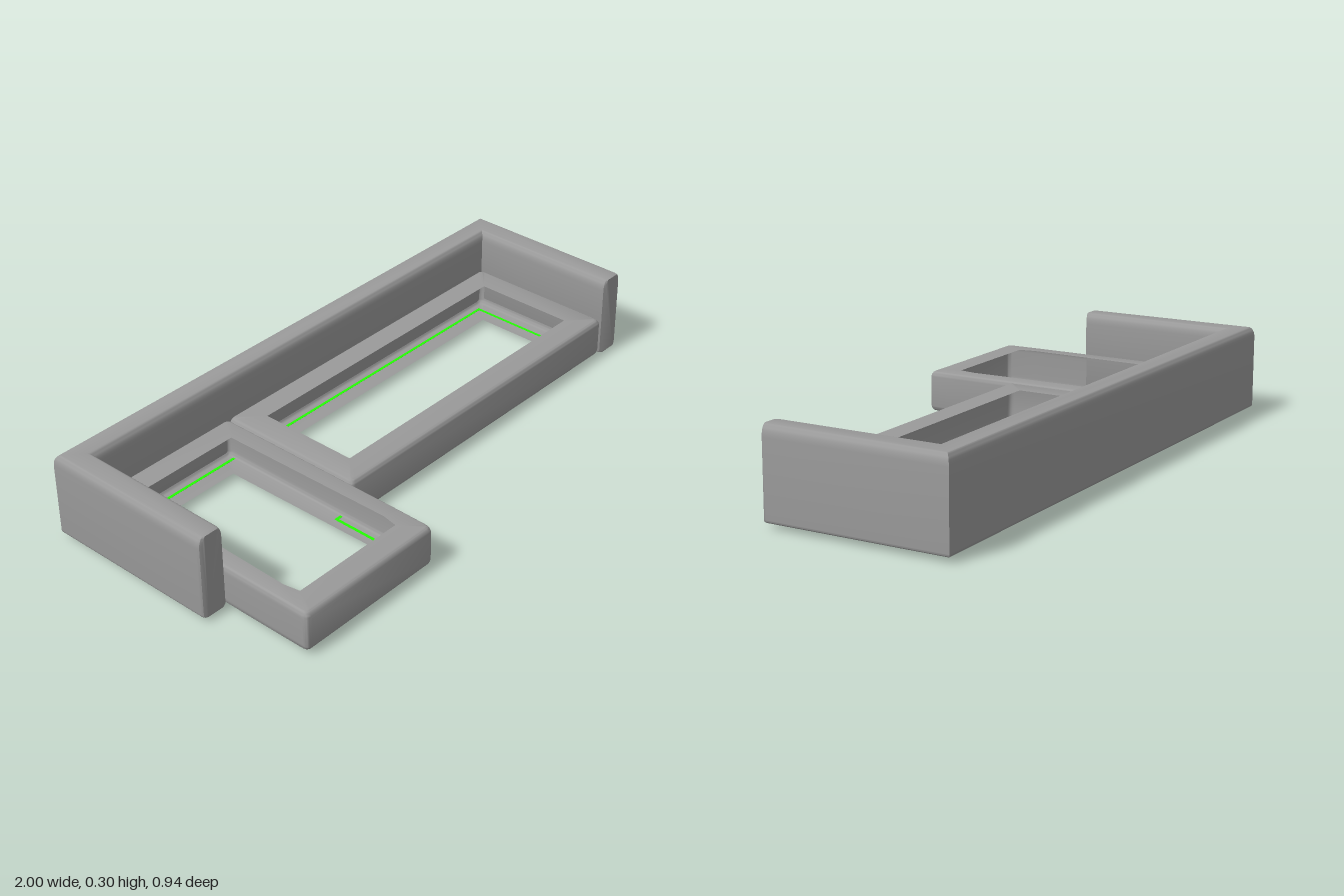
import * as THREE from 'three';
import { toCreasedNormals } from 'three/addons/utils/BufferGeometryUtils.js';

// Sweeps a section of [t, y] points (t = 0 outer, 1 inner) along stations [outerX, outerZ, innerX, innerZ].
function sweep(stations, section, { closedPath, closedSection }) {
  const positions = [];
  const n = stations.length, m = section.length;
  const at = (i, j) => {
    const [ox, oz, ix, iz] = stations[i % n], [t, y] = section[j % m];
    return new THREE.Vector3(ox + (ix - ox) * t, y, oz + (iz - oz) * t);
  };
  const tri = (a, b, c) => {
    if (new THREE.Triangle(a, b, c).getArea() < 1e-9) return;
    for (const p of [a, b, c]) positions.push(p.x, p.y, p.z);
  };
  for (let i = 0; i < (closedPath ? n : n - 1); i++) {
    for (let j = 0; j < (closedSection ? m : m - 1); j++) {
      const a = at(i, j), b = at(i + 1, j), c = at(i + 1, j + 1), d = at(i, j + 1);
      tri(a, d, c);
      tri(a, c, b);
    }
  }
  if (!closedPath) {
    for (let j = 1; j < m - 1; j++) {
      tri(at(0, 0), at(0, j + 1), at(0, j));
      tri(at(n - 1, 0), at(n - 1, j), at(n - 1, j + 1));
    }
  }
  const geometry = new THREE.BufferGeometry();
  geometry.setAttribute('position', new THREE.Float32BufferAttribute(positions, 3));
  return toCreasedNormals(geometry, 0.6);
}

// Section points from elliptical corners [t, y, radiusT, radiusY, startAngle], each a clockwise quarter turn.
function roundedSection(corners) {
  return corners.flatMap(([t, y, rt, ry, start]) =>
    Array.from({ length: 7 }, (_, k) => {
      const a = start - (k / 6) * Math.PI / 2;
      return [t + rt * Math.cos(a), y + ry * Math.sin(a)];
    }));
}

// Rounds the outer corners of a closed loop of stations, keeping the inner corners sharp.
function roundLoop(loop, r) {
  return loop.flatMap((s, i) => {
    const p = new THREE.Vector2(s[0], s[1]);
    const toward = (q) => new THREE.Vector2(q[0], q[1]).sub(p).setLength(r).add(p);
    const prev = toward(loop[(i + loop.length - 1) % loop.length]);
    const next = toward(loop[(i + 1) % loop.length]);
    return new THREE.QuadraticBezierCurve(prev, p, next).getPoints(4)
      .map((q) => [q.x, q.y, s[2], s[3]]);
  });
}

export function createModel() {
  const group = new THREE.Group();
  const grey = new THREE.MeshStandardMaterial({ color: 0x9a9a9a, side: THREE.DoubleSide });
  const green = new THREE.MeshStandardMaterial({ color: 0x22ff00 });
  const add = (name, geometry, material) => {
    const mesh = new THREE.Mesh(geometry, material);
    mesh.name = name;
    group.add(mesh);
  };
  const PI = Math.PI;
  const base = 0.017;

  // Backrest and both arms: one U with mitred corners and softened arm ends
  const backSection = roundedSection([
    [0.08, base + 0.01, 0.08, 0.01, PI * 1.5],
    [0.2, 0.267, 0.2, 0.037, PI],
    [0.8, 0.267, 0.2, 0.037, PI / 2],
    [0.92, base + 0.01, 0.08, 0.01, 0],
  ]);
  const half = [
    [-0.988, 0.149, -0.919, 0.149],
    [-0.997, 0.145, -0.911, 0.145],
    [-1, 0.136, -0.908, 0.136],
    [-1, -0.473, -0.908, -0.386],
  ];
  const mirrored = half.map(([ox, oz, ix, iz]) => [-ox, oz, -ix, iz]).reverse();
  add('backrestAndArms',
    sweep([...half, ...mirrored], backSection, { closedPath: false, closedSection: true }), grey);

  // Seat frames: hollow upholstery shells, open toward the middle
  const seatSection = [
    [1, base],
    ...roundedSection([
      [0.15, base + 0.022, 0.15, 0.022, PI * 1.5],
      [0.17, 0.132, 0.17, 0.024, PI],
    ]),
    [1, 0.156],
  ];
  const chaise = [
    [-0.91, 0.472, -0.845, 0.385],
    [-0.91, 0.33, -0.855, 0.33],
    [-0.91, -0.388, -0.843, -0.3],
    [-0.37, -0.388, -0.44, -0.3],
    [-0.37, 0.33, -0.43, 0.33],
    [-0.37, 0.472, -0.44, 0.385],
  ];
  const bench = [
    [-0.368, 0.146, -0.278, 0.055],
    [-0.368, -0.388, -0.278, -0.3],
    [0.908, -0.388, 0.817, -0.3],
    [0.908, 0.146, 0.817, 0.055],
  ];
  const shell = { closedPath: true, closedSection: false };
  add('chaiseSeatFrame', sweep(roundLoop(chaise, 0.018), seatSection, shell), grey);
  add('benchSeatFrame', sweep(roundLoop(bench, 0.018), seatSection, shell), grey);

  // Thin L-shaped plinth strip under the seats
  const w = 0.01;
  const plinth = [
    [-0.87, 0.44, 1, -1],
    [-0.87, -0.363, 1, 1],
    [0.87, -0.363, -1, 1],
    [0.87, 0.115, -1, -1],
    [-0.395, 0.115, -1, -1],
    [-0.395, 0.44, -1, -1],
  ].map(([x, z, dx, dz]) => [x, z, x + dx * w, z + dz * w]);
  const top = base + 0.0005;
  add('plinthStrip',
    sweep(plinth, [[0, 0], [0, top], [1, top], [1, 0]], { closedPath: true, closedSection: true }), green);

  return group;
}
